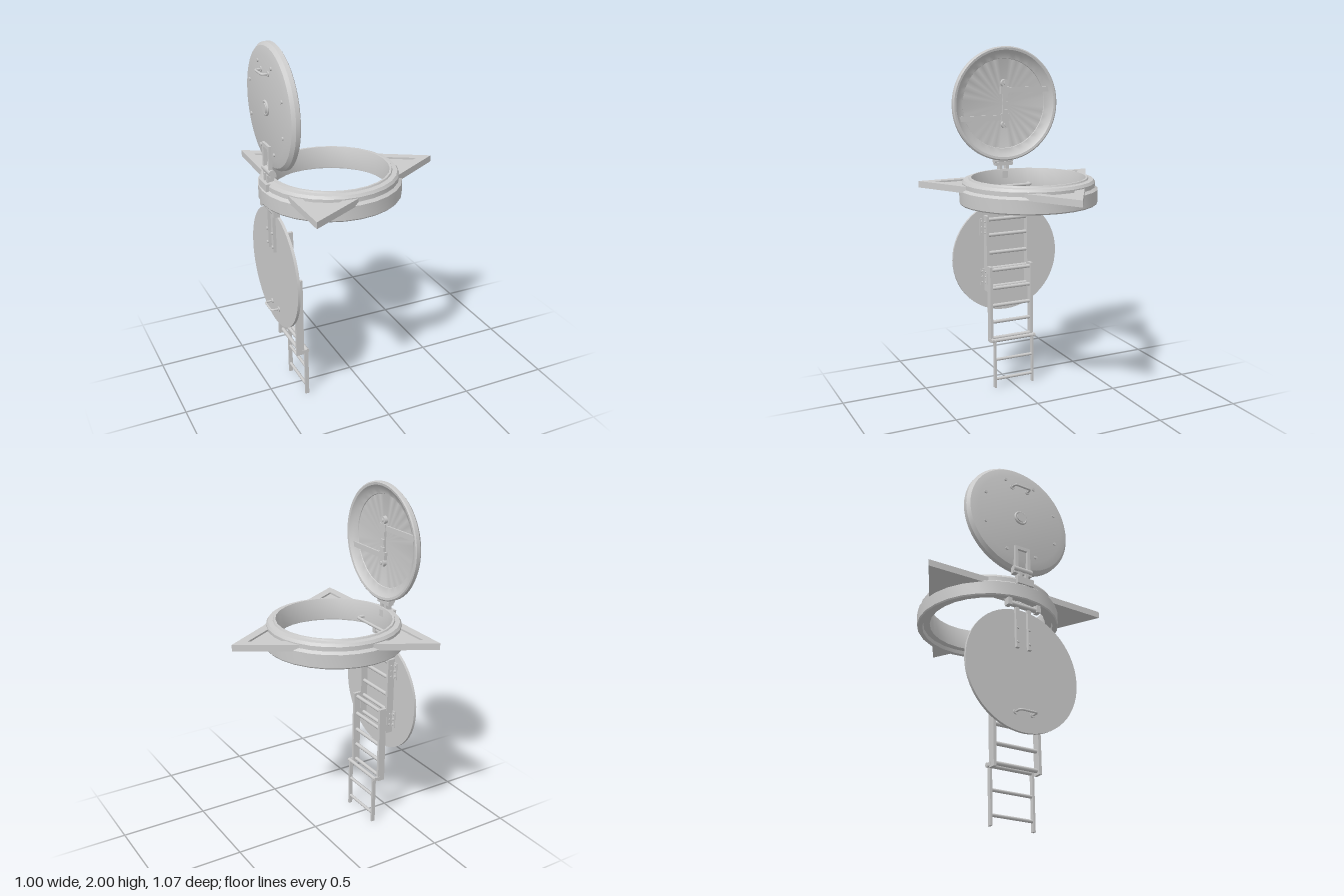
import * as THREE from 'three';
import { toCreasedNormals } from 'three/addons/utils/BufferGeometryUtils.js';

const CX = -0.117; // ring axis
const mat = new THREE.MeshStandardMaterial({ color: 0xcccccc });

export function createModel() {
  const model = new THREE.Group();
  model.name = 'hatchWithLadder';

  const group = (name) => {
    const g = new THREE.Group();
    g.name = name;
    model.add(g);
    return g;
  };
  const add = (parent, name, geo, x = 0, y = 0, z = 0) => {
    const m = new THREE.Mesh(geo, mat);
    m.name = name;
    m.position.set(x, y, z);
    parent.add(m);
    return m;
  };
  const v = (a) => new THREE.Vector3(...a);
  // Box given by its lower and upper limits on each axis
  const box = (parent, name, x, y, z) =>
    add(parent, name, new THREE.BoxGeometry(x[1] - x[0], y[1] - y[0], z[1] - z[0]),
      (x[0] + x[1]) / 2, (y[0] + y[1]) / 2, (z[0] + z[1]) / 2);
  // Round bar between two points
  const rod = (parent, name, a, b, r, sides = 10) => {
    const d = v(b).sub(v(a));
    const m = add(parent, name, new THREE.CylinderGeometry(r, r, d.length(), sides));
    m.position.copy(v(a).addScaledVector(d, 0.5));
    m.quaternion.setFromUnitVectors(new THREE.Vector3(0, 1, 0), d.normalize());
    return m;
  };
  // Bent round bar with tight corners
  const bentRod = (parent, name, pts, r) => {
    const path = new THREE.CurvePath();
    const p = pts.map(v);
    let last = p[0];
    for (let i = 1; i < p.length - 1; i++) {
      const a = p[i].clone().add(p[i - 1].clone().sub(p[i]).setLength(0.015));
      const b = p[i].clone().add(p[i + 1].clone().sub(p[i]).setLength(0.015));
      path.add(new THREE.LineCurve3(last, a));
      path.add(new THREE.QuadraticBezierCurve3(a, p[i], b));
      last = b;
    }
    path.add(new THREE.LineCurve3(last, p[p.length - 1]));
    return add(parent, name, new THREE.TubeGeometry(path, 48, r, 8));
  };
  const lathe = (pts, segs) => toCreasedNormals(
    new THREE.LatheGeometry(pts.map((p) => new THREE.Vector2(...p)), segs), 0.5);

  // Ring collar
  add(group('collar'), 'ring', lathe([
    [0.315, 1.175], [0.35, 1.175], [0.355, 1.155], [0.379, 1.155], [0.384, 1.162],
    [0.384, 1.235], [0.368, 1.248], [0.368, 1.272], [0.358, 1.287], [0.332, 1.29],
    [0.328, 1.298], [0.317, 1.298], [0.315, 1.293], [0.315, 1.175],
  ], 28), CX);

  // Three corner flanges: a thin floor with a raised V-shaped border
  const polar = (r, a) => new THREE.Vector2(r * Math.cos(a), r * Math.sin(a));
  const arc = (r, a0, a1, n = 8) =>
    Array.from({ length: n + 1 }, (_, i) => polar(r, a0 + ((a1 - a0) * i) / n));
  const slab = (pts, depth) => {
    const g = new THREE.ExtrudeGeometry(new THREE.Shape(pts), { depth, bevelEnabled: false });
    return g.rotateX(-Math.PI / 2);
  };
  const reach = (inradius) => Math.PI / 3 - Math.acos(inradius / 0.355);
  const outer = reach(0.314), inner = reach(0.262);
  const tip = polar(0.616, 0), innerTip = polar(0.522, 0);
  const floorGeo = slab([tip, ...arc(0.355, outer, -outer)], 0.026);
  const borderGeo = slab([tip, ...arc(0.355, outer, inner, 3), innerTip,
    ...arc(0.355, -inner, -outer, 3)], 0.01);
  for (let i = 0; i < 3; i++) {
    const corner = group('cornerFlange');
    add(corner, 'flangeFloor', floorGeo, 0, 1.23);
    add(corner, 'flangeBorder', borderGeo, 0, 1.256);
    corner.position.x = CX;
    corner.rotation.y = (i * Math.PI * 2) / 3;
  }

  // Upper lid, dished on the +x side
  const upper = group('upperLid');
  const LY = 1.675;
  const dish = add(upper, 'dish', lathe([
    [0, -0.46], [0.265, -0.46], [0.308, -0.449], [0.324, -0.432], [0.325, -0.41], [0.318, -0.405],
    [0.305, -0.407], [0.288, -0.424], [0.257, -0.436], [0.255, -0.44], [0, -0.44],
  ], 56), 0, LY, 0);
  dish.rotation.z = -Math.PI / 2;

  // Lock inside the lid: sliding plate and two arms
  box(upper, 'lockPlate', [-0.441, -0.428], [1.555, 1.795], [-0.011, 0.011]);
  for (const s of [1, -1]) {
    const y = LY + s * 0.078;
    box(upper, 'lockArm', [-0.434, -0.424], [y - 0.015, y + 0.015], [-0.145 - s * 0.14, 0.145 - s * 0.14]);
    box(upper, 'armClamp', [-0.441, -0.42], [y - 0.021, y + 0.021], [-0.026, 0.026]);
    rod(upper, 'endBoss', [-0.441, LY + s * 0.118, 0], [-0.42, LY + s * 0.118, 0], 0.022, 16);
    rod(upper, 'pivot', [-0.425, LY + s * 0.118, 0], [-0.413, LY + s * 0.118, 0], 0.01);
  }
  for (let i = -1; i <= 1; i++) {
    box(upper, 'lockLink', [-0.43, -0.42], [LY + i * 0.045 - 0.014, LY + i * 0.045 + 0.014], [-0.016, 0.016]);
  }

  // Outside of the lid: hub, bolts and pull handle
  rod(upper, 'hub', [-0.473, LY, 0], [-0.455, LY, 0], 0.028, 20);
  const hubRim = add(upper, 'hubRim', new THREE.TorusGeometry(0.034, 0.007, 8, 24), -0.463, LY, 0);
  hubRim.rotation.y = Math.PI / 2;
  for (let i = 0; i < 8; i++) {
    const p = polar(0.238, (i + 0.5) * Math.PI / 4);
    rod(upper, 'bolt', [-0.467, LY + p.y, p.x], [-0.455, LY + p.y, p.x], 0.009);
  }
  const pullHandle = (parent, x, y) => {
    bentRod(parent, 'pullHandle', [[x, y, -0.05], [-0.493, y, -0.05], [-0.493, y, 0.05], [x, y, 0.05]], 0.006);
    for (const s of [1, -1]) rod(parent, 'handleFoot', [x - 0.008, y, s * 0.05], [x, y, s * 0.05], 0.014, 12);
  };
  pullHandle(upper, -0.458, 1.86);

  // Upper hinge: strap frame on the lid and a pivot standing on the collar
  const hinge = group('upperHinge');
  for (const s of [1, -1]) {
    const z = s * 0.038;
    box(hinge, 'strap', [-0.474, -0.456], [1.33, 1.485], [z - 0.009, z + 0.009]);
    box(hinge, 'strapFoot', [-0.48, -0.44], [1.27, 1.325], [s * 0.02 - 0.009, s * 0.02 + 0.009]);
  }
  box(hinge, 'strapTop', [-0.474, -0.456], [1.465, 1.485], [-0.047, 0.047]);
  box(hinge, 'strapBridge', [-0.472, -0.44], [1.318, 1.338], [-0.055, 0.055]);
  box(hinge, 'hingeBase', [-0.497, -0.43], [1.245, 1.285], [-0.05, 0.05]);
  rod(hinge, 'hingePin', [-0.462, 1.343, -0.057], [-0.462, 1.343, 0.057], 0.018, 14);

  // Lower lid, a flat disc
  const lower = group('lowerLid');
  rod(lower, 'disc', [-0.45, 0.779, 0], [-0.435, 0.779, 0], 0.333, 56);
  pullHandle(lower, -0.449, 0.545);

  // Lower hinge
  const low = group('lowerHinge');
  for (const s of [1, -1]) {
    box(low, 'strap', [-0.467, -0.449], [0.89, 1.125], [s * 0.036 - 0.01, s * 0.036 + 0.01]);
    for (const y of [0.92, 1.0]) rod(low, 'strapBolt', [-0.474, y, s * 0.036], [-0.46, y, s * 0.036], 0.008);
    box(low, 'hingeEar', [-0.48, -0.445], [1.115, 1.16], [s * 0.088 - 0.012, s * 0.088 + 0.012]);
  }
  rod(low, 'hingePin', [-0.462, 1.13, -0.1], [-0.462, 1.13, 0.1], 0.014, 12);

  // Grab bar inside the collar
  const grab = group('grabBar');
  bentRod(grab, 'bar', [[-0.42, 1.21, -0.134], [-0.362, 1.21, -0.134],
    [-0.362, 1.21, 0.134], [-0.42, 1.21, 0.134]], 0.009);

  // Telescoping ladder: x limits, y limits, rail centre in z, rung heights
  const sections = [
    [[-0.434, -0.391], [0.58, 1.035], 0.131, [1.01, 0.917, 0.81, 0.715, 0.604]],
    [[-0.389, -0.345], [0.275, 0.738], 0.131, [0.715, 0.604, 0.498, 0.397, 0.297]],
    [[-0.338, -0.316], [0, 0.297], 0.122, [0.175, 0.053]],
  ];
  sections.forEach(([x, y, z, rungs], i) => {
    const part = group('ladderSection' + (i + 1));
    const w = i < 2 ? 0.008 : 0.006;
    for (const s of [1, -1]) box(part, 'rail', x, y, [s * z - w, s * z + w]);
    const mid = (x[0] + x[1]) / 2;
    for (const h of rungs) rod(part, 'rung', [mid, h, -z], [mid, h, z], i < 2 ? 0.011 : 0.009);
  });
  const joint = group('ladderJoint');
  rod(joint, 'jointBar', [-0.327, 0.294, -0.142], [-0.327, 0.294, 0.142], 0.011, 12);
  for (const s of [1, -1]) {
    box(joint, 'jointLink', [-0.36, -0.318], [0.284, 0.302], [s * 0.134 - 0.007, s * 0.134 + 0.007]);
  }

  // Brackets fixing the ladder to the lower lid
  const brackets = group('ladderBrackets');
  for (const s of [1, -1]) for (const y of [0.965, 0.665]) {
    box(brackets, 'bracketPlate', [-0.436, -0.43], [y - 0.05, y + 0.05], [s * 0.15 - 0.014, s * 0.15 + 0.014]);
    for (const d of [-0.033, 0, 0.033]) {
      rod(brackets, 'bracketBolt', [-0.434, y + d, s * 0.151], [-0.422, y + d, s * 0.151], 0.008);
      rod(brackets, 'railBolt', [-0.412, y + d, s * 0.135], [-0.412, y + d, s * 0.145], 0.006);
    }
  }
  return model;
}
